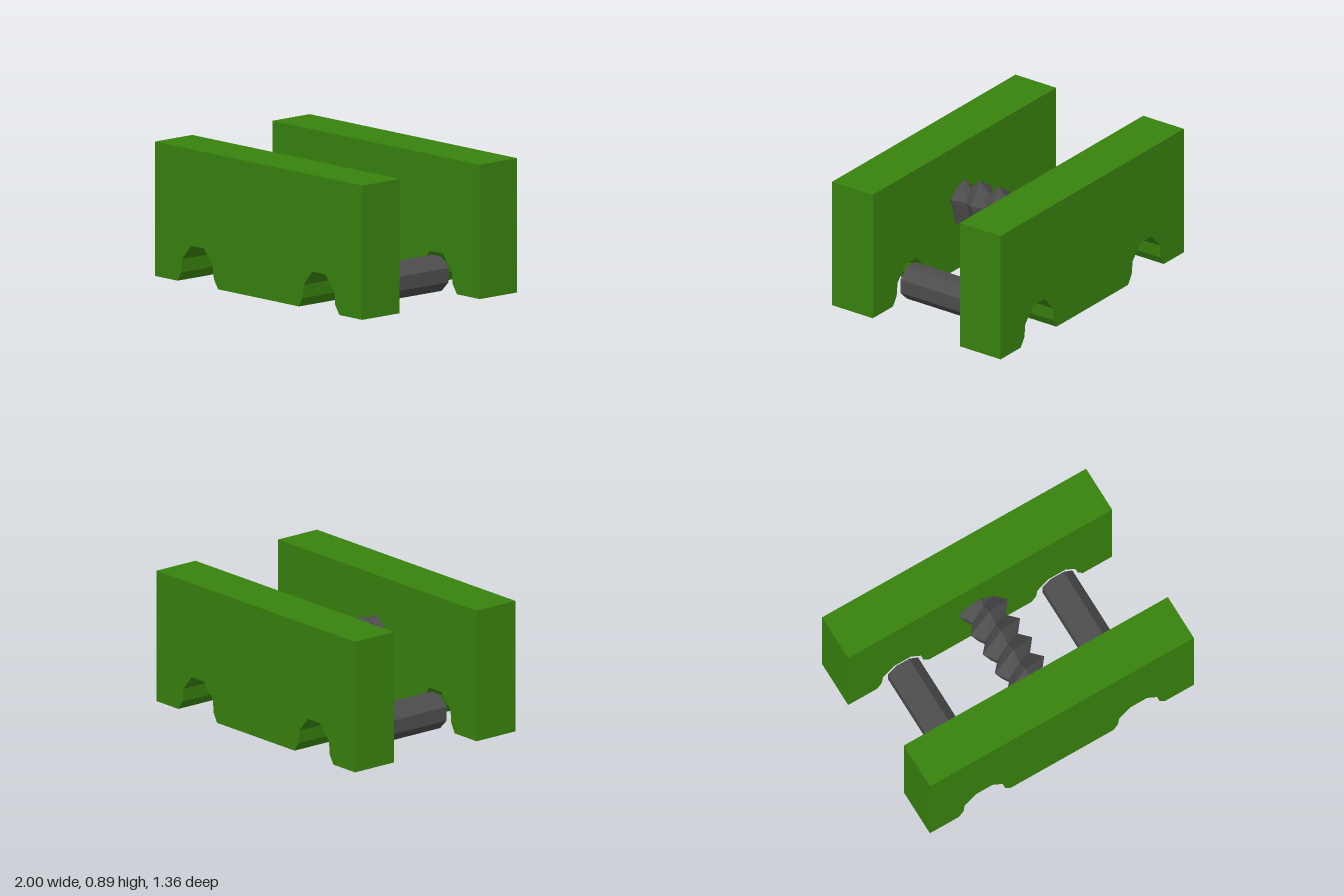
import * as THREE from 'three';

const green = new THREE.MeshStandardMaterial({ name: 'green paint', color: 0x38820e, flatShading: true });
const steel = new THREE.MeshStandardMaterial({ name: 'dark steel', color: 0x4d4d4d, flatShading: true });

const INNER = 0.352, THICK = 0.33, HEIGHT = 0.89;

// Plate with two arched notches along its lower edge
function jawGeometry() {
  const notch = [[-0.195, 0], [-0.16, 0.06], [-0.152, 0.15], [-0.065, 0.25],
    [0.06, 0.25], [0.145, 0.15], [0.155, 0.06], [0.195, 0]];
  const shape = new THREE.Shape();
  shape.moveTo(-1, HEIGHT);
  shape.lineTo(-1, 0);
  for (const x of [-0.585, 0.585]) for (const [dx, y] of notch) shape.lineTo(x + dx, y);
  shape.lineTo(1, 0);
  shape.lineTo(1, HEIGHT);
  return new THREE.ExtrudeGeometry(shape, { depth: THICK, bevelEnabled: false });
}

// Five-sided screw: alternating crest and root rings, skewed along z to lean the thread
function screwGeometry() {
  const crest = [[0, 0.64], [0.167, 0.535], [0.11, 0.34], [-0.11, 0.34], [-0.17, 0.535]];
  const root = [[0, 0.57], [0.105, 0.51], [0.07, 0.362], [-0.07, 0.362], [-0.105, 0.51]];
  const lean = [0, -0.045, -0.045, 0.045, 0.045];
  const rings = 13, half = 0.0765, position = [], index = [];
  for (let i = 0; i < rings; i++) {
    const z = 0.4545 - i * half;
    (i % 2 ? crest : root).forEach(([x, y], j) => position.push(x, y, z + lean[j]));
  }
  for (let i = 0; i < rings - 1; i++) {
    for (let j = 0; j < 5; j++) {
      const a = i * 5 + j, b = i * 5 + (j + 1) % 5;
      index.push(a, b, b + 5, a, b + 5, a + 5);
    }
  }
  // End caps
  const last = (rings - 1) * 5;
  for (let j = 1; j < 4; j++) index.push(0, j + 1, j, last, last + j, last + j + 1);
  const geometry = new THREE.BufferGeometry();
  geometry.setAttribute('position', new THREE.Float32BufferAttribute(position, 3));
  geometry.setIndex(index);
  const flat = geometry.toNonIndexed();
  flat.computeVertexNormals();
  return flat;
}

export function createModel() {
  const model = new THREE.Group();
  model.name = 'vise';
  const add = (name, geometry, material) => {
    const mesh = new THREE.Mesh(geometry, material);
    mesh.name = name;
    model.add(mesh);
    return mesh;
  };

  // Two facing jaws
  add('frontJaw', jawGeometry(), green).position.z = INNER;
  add('backJaw', jawGeometry(), green).position.z = -INNER - THICK;

  // Octagonal guide rods between the jaws
  for (const [name, x] of [['leftRod', 0.585], ['rightRod', -0.585]]) {
    const rod = new THREE.CylinderGeometry(0.123, 0.123, INNER * 2, 8);
    rod.rotateY(Math.PI / 8).rotateX(Math.PI / 2);
    add(name, rod, steel).position.set(x, 0.1145, 0);
  }

  add('screw', screwGeometry(), steel);
  return model;
}
